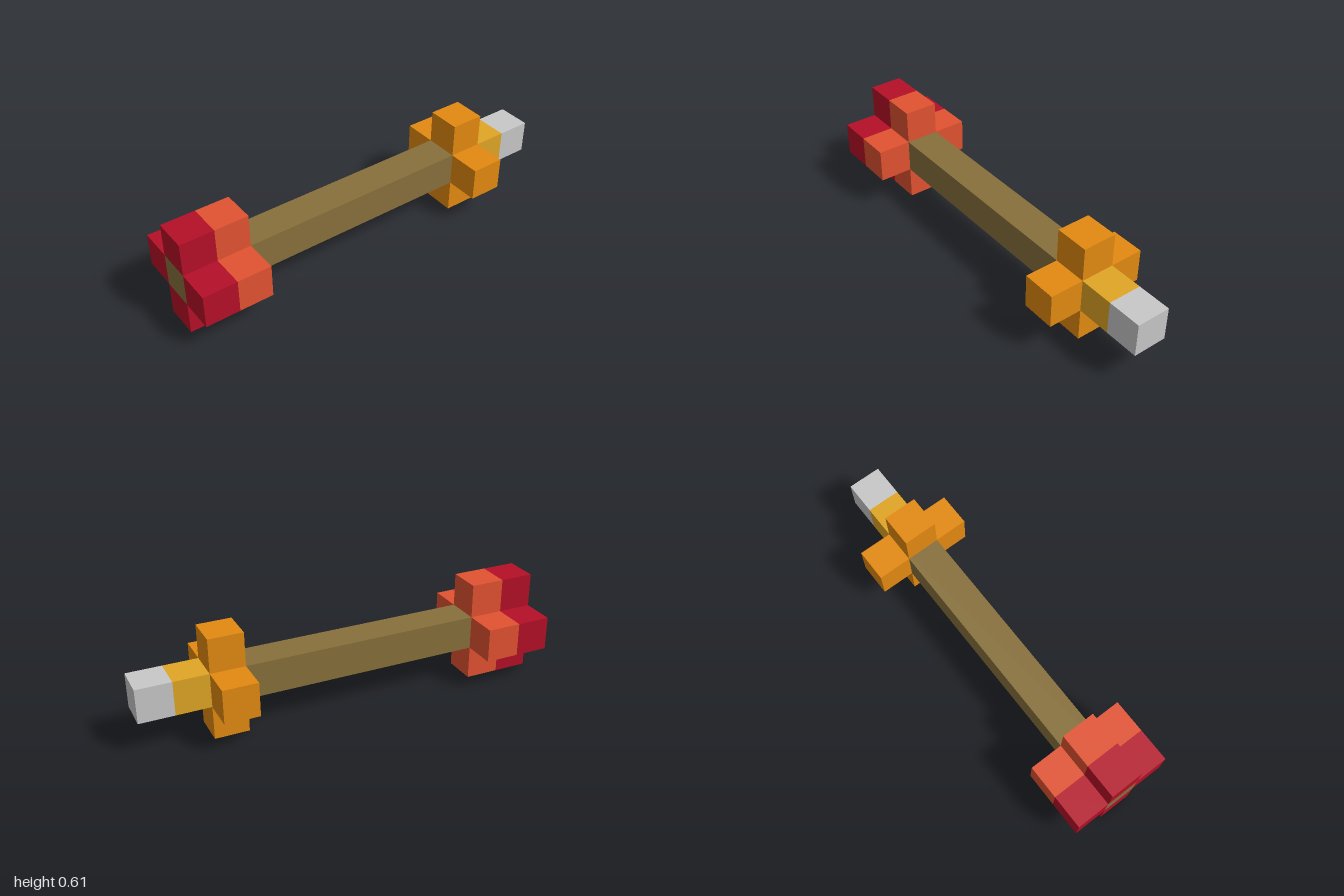
import * as THREE from 'three';

const UNIT = Math.SQRT2 / 7; // edge of one block
const paint = (name, color) => {
  const m = new THREE.MeshStandardMaterial({ color });
  m.name = name;
  return m;
};

export function createModel() {
  const olive = paint('olive wood', 0x88703b);
  const crimson = paint('crimson', 0xb50f27);
  const vermilion = paint('vermilion', 0xe25231);
  const orange = paint('orange', 0xe48a11);
  const gold = paint('gold', 0xe0a525);
  const silver = paint('silver', 0xc8c8c8);

  const model = new THREE.Group();
  model.name = 'arrow';

  // A block run along the arrow from a to b, offset up and sideways (in block units)
  const block = (parent, name, material, a, b, up = 0, side = 0) => {
    const mesh = new THREE.Mesh(new THREE.BoxGeometry((b - a) * UNIT, UNIT, UNIT), material);
    mesh.position.set(((a + b) / 2) * UNIT, up * UNIT, side * UNIT);
    mesh.name = name;
    parent.add(mesh);
  };

  const arrow = new THREE.Group();
  arrow.name = 'arrowBody';
  block(arrow, 'shaft', olive, -5.5, 4.5);
  block(arrow, 'headNeck', gold, 4.5, 5.5);
  block(arrow, 'tip', silver, 5.5, 6.5);

  // Four barbs and four two-tone feathers around the shaft
  for (const [up, side] of [[1, 0], [-1, 0], [0, 1], [0, -1]]) {
    block(arrow, 'headBarb', orange, 3.5, 4.5, up, side);
    block(arrow, 'featherFront', vermilion, -4.5, -3.5, up, side);
    block(arrow, 'featherBack', crimson, -5.5, -4.5, up, side);
  }

  // Lies diagonally, tip towards the back left
  arrow.rotation.y = Math.PI / 4;
  arrow.position.y = 1.5 * UNIT;
  model.add(arrow);
  return model;
}
